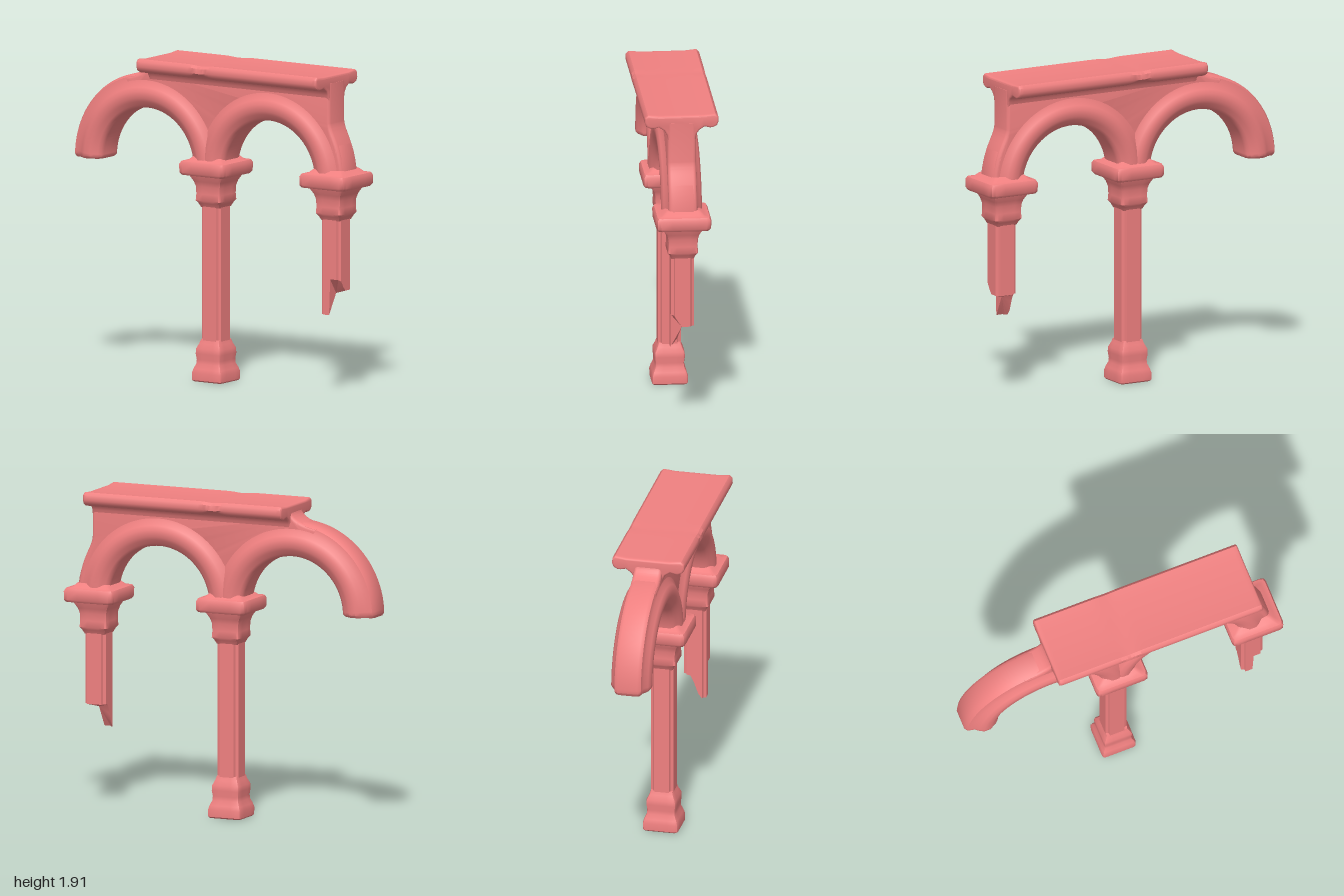
import * as THREE from 'three';
import { toCreasedNormals } from 'three/addons/utils/BufferGeometryUtils.js';

const material = new THREE.MeshStandardMaterial({ color: 0xf08080 });
const SPRING = 1.27; // height of the arch centres
const LEFT_X = -0.46, RIGHT_X = 0.41; // arch centres
const MID_COLUMN = -0.025, END_COLUMN = 0.837;

function part(name, geometry, crease = 0.75) {
  const mesh = new THREE.Mesh(toCreasedNormals(geometry, crease), material);
  mesh.name = name;
  return mesh;
}

// Skin a list of closed cross-sections and cap both ends
function loft(rings) {
  const n = rings[0].length, pos = [], index = [];
  for (const ring of rings) for (const p of ring) pos.push(p.x, p.y, p.z);
  for (let r = 0; r < rings.length - 1; r++) {
    for (let i = 0; i < n; i++) {
      const a = r * n + i, b = r * n + (i + 1) % n;
      index.push(a, a + n, b, b, a + n, b + n);
    }
  }
  [0, rings.length - 1].forEach((r, end) => {
    const c = rings[r].reduce((s, p) => s.add(p), new THREE.Vector3()).divideScalar(n);
    const centre = pos.length / 3;
    pos.push(c.x, c.y, c.z);
    for (let i = 0; i < n; i++) {
      const a = r * n + i, b = r * n + (i + 1) % n;
      if (end === 0) index.push(centre, a, b);
      else index.push(centre, b, a);
    }
  });
  const g = new THREE.BufferGeometry();
  g.setAttribute('position', new THREE.Float32BufferAttribute(pos, 3));
  g.setIndex(index);
  return g;
}

// Square section: half width a, flat half width c, corner point at (m, m)
function square(x0, y, a, c, m) {
  const ring = [];
  for (let q = 0; q < 4; q++) {
    const cos = Math.round(Math.cos(q * Math.PI / 2)), sin = Math.round(Math.sin(q * Math.PI / 2));
    const side = [-c, -c / 2, -0.004, 0.004, c / 2, c].map(t => [a, t]);
    for (const [u, v] of [...side, [m, m]]) {
      ring.push(new THREE.Vector3(x0 + u * cos - v * sin, y, u * sin + v * cos));
    }
  }
  return ring;
}
const block = (x, y, a) => square(x, y, a, a * 0.84, a * 0.96);
const shaft = (x, y) => square(x, y, 0.068, 0.046, 0.052);
const blocks = (x, profile) => profile.map(([a, y]) => block(x, y, a));

// Neck and abacus above a shaft
function capital(x) {
  const group = new THREE.Group();
  group.name = 'capital';
  group.add(
    part('neck', loft(blocks(x, [[0.066, 1.04], [0.078, 1.065], [0.09, 1.08], [0.087, 1.12], [0.089, 1.165],
      [0.098, 1.195], [0.115, 1.225], [0.12, 1.25]]))),
    part('abacus', loft(blocks(x, [[0.13, 1.233], [0.152, 1.236], [0.162, 1.25], [0.163, 1.30], [0.154, 1.317],
      [0.125, 1.322], [0.1, 1.345]]))));
  return group;
}

// Moulded band swept over a half circle
function archBand(name, cx) {
  const half = [[0.535, 0.06], [0.522, 0.08], [0.48, 0.088], [0.455, 0.108], [0.43, 0.12], [0.39, 0.12],
    [0.37, 0.108], [0.348, 0.096], [0.333, 0.083], [0.328, 0.06]];
  const section = [...half, ...half.map(([r, z]) => [r, -z]).reverse()];
  const ring = (angle, scale, drop) => section.map(([r, z]) => {
    const radius = 0.43 + (r - 0.43) * scale;
    return new THREE.Vector3(cx + radius * Math.cos(angle), SPRING + radius * Math.sin(angle) - drop, z * scale);
  });
  const rings = [ring(0, 0.9, 0.005), ring(0.025, 1, 0)];
  const steps = 48;
  for (let i = 1; i < steps; i++) rings.push(ring(Math.PI * i / steps, 1, 0));
  rings.push(ring(Math.PI - 0.025, 1, 0), ring(Math.PI, 0.9, 0.005));
  return part(name, loft(rings));
}

// Wall filling the space between the arches and the slab
function spandrelWall() {
  const s = new THREE.Shape();
  s.moveTo(-0.62, 1.775);
  s.quadraticCurveTo(-0.47, 1.80, -0.45, 1.86);
  s.lineTo(0.845, 1.86);
  s.lineTo(0.845, 1.63);
  s.bezierCurveTo(0.85, 1.55, 0.93, 1.5, 0.94, SPRING);
  s.absarc(RIGHT_X, SPRING, 0.39, 0, Math.PI, false);
  s.absarc(LEFT_X, SPRING, 0.39, 0, 1.98, false);
  const g = new THREE.ExtrudeGeometry(s, { depth: 0.13, bevelEnabled: true, bevelThickness: 0.02,
    bevelSize: 0.02, bevelOffset: -0.02, bevelSegments: 3, curveSegments: 28 });
  g.translate(0, 0, -0.065);
  return part('spandrelWall', g);
}

// Slab with rolled lips and a coved underside
function topSlab() {
  const half = [[0.08, 1.75], [0.088, 1.79], [0.105, 1.815], [0.135, 1.835], [0.165, 1.828], [0.185, 1.828],
    [0.21, 1.842], [0.219, 1.865], [0.217, 1.895], [0.2, 1.911], [0.13, 1.904]];
  const points = [...half, ...half.map(([z, y]) => [-z, y]).reverse()].map(p => new THREE.Vector2(...p));
  const g = new THREE.ExtrudeGeometry(new THREE.Shape(points), { depth: 1.27, steps: 60, bevelEnabled: true,
    bevelThickness: 0.012, bevelSize: 0.012, bevelOffset: -0.012, bevelSegments: 3 });
  g.translate(0, 0, -0.635);
  g.rotateY(Math.PI / 2);
  g.translate(0.196, 0, 0);
  // Small worn nick in both lips
  const p = g.attributes.position;
  for (let i = 0; i < p.count; i++) {
    if (Math.abs(p.getZ(i)) < 0.15) continue;
    const wear = Math.exp(-((p.getX(i) / 0.05) ** 2));
    p.setY(i, p.getY(i) + (p.getY(i) < 1.86 ? 0.016 : -0.006) * wear);
  }
  return part('topSlab', g);
}

// Uneven lower edge of the broken shaft
function brokenEdge(x, z) {
  const s = THREE.MathUtils.smoothstep;
  return x < END_COLUMN ? 0.62 - 0.145 * s(z, -0.03, 0.045) : 0.62 + 0.07 * s(z, 0, 0.06);
}

export function createModel() {
  const model = new THREE.Group();
  model.name = 'ruinedArcade';

  // Complete middle column
  const column = new THREE.Group();
  column.name = 'middleColumn';
  column.add(
    part('base', loft(blocks(MID_COLUMN, [[0.098, 0], [0.106, 0.008], [0.107, 0.05], [0.1, 0.075], [0.087, 0.105],
      [0.085, 0.13], [0.09, 0.165], [0.088, 0.195], [0.074, 0.225], [0.066, 0.25]]))),
    part('shaft', loft([shaft(MID_COLUMN, 0.2), shaft(MID_COLUMN, 1.1)]), 0.5),
    capital(MID_COLUMN));
  model.add(column);

  // Broken end column
  const broken = new THREE.Group();
  broken.name = 'brokenColumn';
  const lower = shaft(END_COLUMN, 0);
  lower.forEach(p => { p.y = brokenEdge(p.x, p.z); });
  broken.add(part('brokenShaft', loft([lower, shaft(END_COLUMN, 1.1)]), 0.5), capital(END_COLUMN));
  model.add(broken);

  // Arches, wall and slab
  model.add(archBand('brokenArch', LEFT_X), archBand('wholeArch', RIGHT_X), spandrelWall(), topSlab());
  return model;
}
